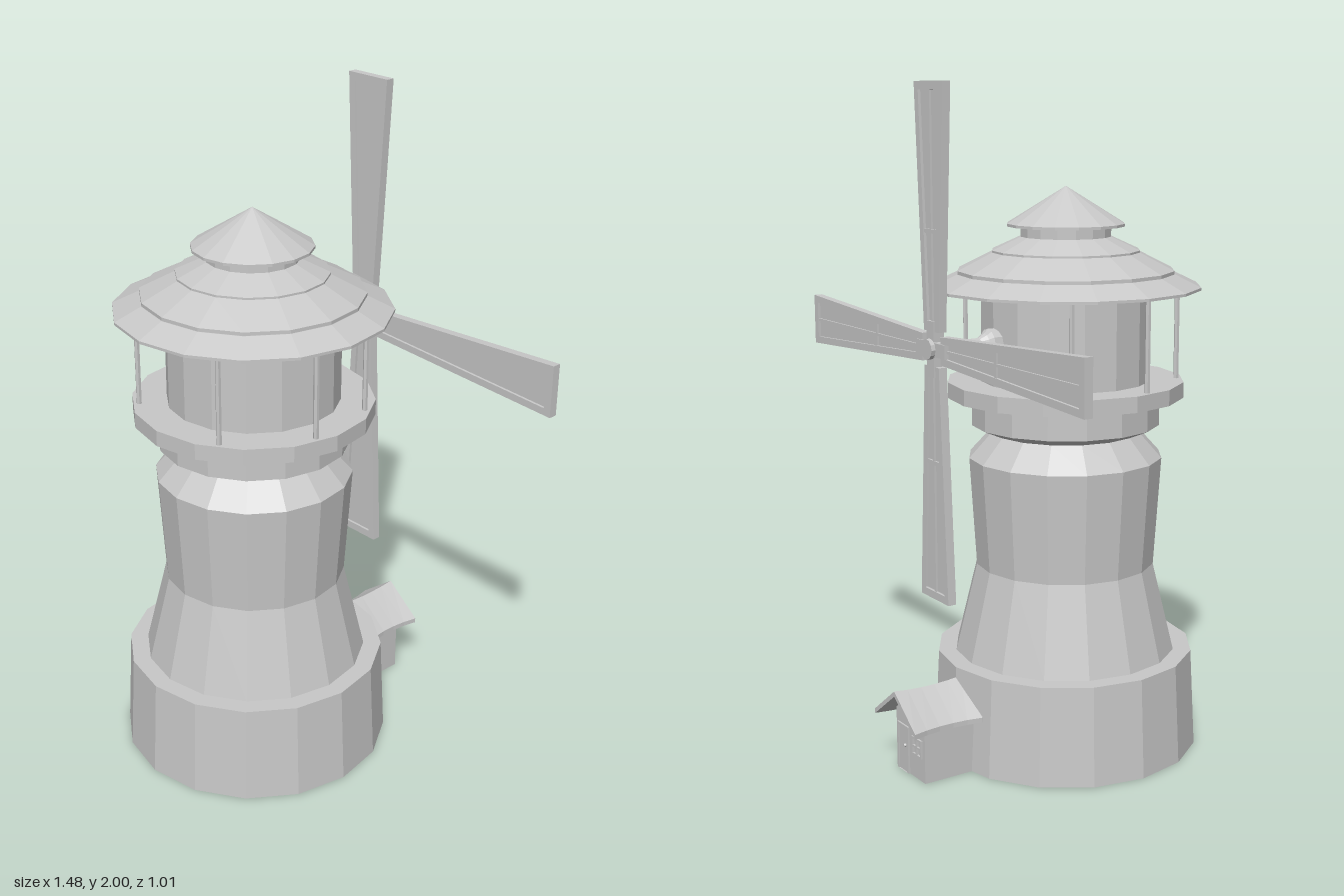
import * as THREE from 'three';

const stone = new THREE.MeshStandardMaterial({ color: 0xc8c8c8 });
stone.name = 'light grey';

const SIDES = 16;
const AXIS_Z = 0.095; // tower axis

// Mesh with one flat normal per facet
function facet(name, geometry, parent, x = 0, y = 0, z = 0) {
  const g = geometry.index ? geometry.toNonIndexed() : geometry;
  g.computeVertexNormals();
  const mesh = new THREE.Mesh(g, stone);
  mesh.name = name;
  mesh.position.set(x, y, z);
  parent.add(mesh);
  return mesh;
}

// Turned part from [radius, height] pairs, bottom to top
function turned(name, profile, parent, sides = SIDES) {
  const pts = profile.map(([r, y]) => new THREE.Vector2(r, y));
  return facet(name, new THREE.LatheGeometry(pts, sides), parent);
}

function polygon(points, Type = THREE.Shape) {
  return new Type(points.map(([x, y]) => new THREE.Vector2(x, y)));
}

function extrude(shape, depth, steps = 1) {
  return new THREE.ExtrudeGeometry(shape, { depth, steps, bevelEnabled: false });
}

function box(name, w, h, d, x, y, z, parent) {
  return facet(name, new THREE.BoxGeometry(w, h, d), parent, x, y, z);
}

function createTower() {
  const tower = new THREE.Group();
  tower.name = 'tower';
  tower.position.z = AXIS_Z;
  turned('base', [[0, 0], [0.408, 0], [0.392, 0.3], [0, 0.3]], tower);
  turned('shaft', [[0.338, 0.3], [0.272, 0.57], [0.293, 0.9], [0.225, 0.975], [0.225, 0.99]], tower);
  turned('corbel', [[0, 0.975], [0.225, 0.975], [0.284, 1.0], [0.284, 1.09]], tower);
  turned('gallery', [[0, 1.085], [0.355, 1.085], [0.355, 1.132], [0, 1.132]], tower);
  turned('lanternRoom', [[0.254, 1.13], [0.254, 1.41]], tower);

  // Gallery posts, mirrored left and right, open at the rear for the sails
  for (const side of [-1, 1]) {
    for (const deg of [57, 9.6, -32]) {
      const a = THREE.MathUtils.degToRad(deg);
      facet('post', new THREE.CylinderGeometry(0.008, 0.008, 0.285, 6), tower,
        side * 0.332 * Math.cos(a), 1.27, 0.332 * Math.sin(a));
    }
  }

  // Tiered roof
  turned('eaves', [[0, 1.405], [0.402, 1.405], [0.402, 1.413], [0.325, 1.45], [0, 1.45]], tower);
  turned('middleRoof', [[0, 1.45], [0.323, 1.45], [0.323, 1.46], [0.22, 1.512], [0, 1.512]], tower);
  turned('upperRoof', [[0, 1.51], [0.22, 1.51], [0.22, 1.518], [0.135, 1.557], [0.135, 1.59]], tower);
  turned('cap', [[0, 1.587], [0.175, 1.587], [0.175, 1.595], [0, 1.703]], tower);
  return tower;
}

// One sail pointing up: tapered frame, recessed panel, spar and rib
function createSail() {
  const sail = new THREE.Group();
  sail.name = 'sail';
  const half = (r) => 0.037 + 0.054 * r;
  const outline = (r0, r1, inset) => [
    [-half(r0) + inset, r0], [half(r0) - inset, r0],
    [half(r1) - inset, r1], [-half(r1) + inset, r1],
  ];
  const frame = polygon(outline(0.05, 0.738, 0));
  frame.holes.push(polygon(outline(0.075, 0.715, 0.021).reverse(), THREE.Path));
  facet('sailFrame', extrude(frame, 0.026), sail, 0, 0, -0.013);
  facet('sailPanel', extrude(polygon(outline(0.07, 0.72, 0.018)), 0.01), sail, 0, 0, -0.005);
  box('spar', 0.008, 0.64, 0.008, 0, 0.395, -0.007, sail);
  box('rib', 0.07, 0.012, 0.008, 0, 0.33, -0.007, sail);
  return sail;
}

function createSails() {
  const sails = new THREE.Group();
  sails.name = 'sails';
  sails.position.set(0, 1.262, -0.353);
  for (let i = 0; i < 4; i++) {
    const sail = createSail();
    sail.rotation.z = i * Math.PI / 2;
    sails.add(sail);
  }
  box('hubCrossbar', 0.16, 0.04, 0.034, 0, 0, 0, sails);
  box('hubUpright', 0.04, 0.16, 0.034, 0, 0, 0, sails);
  // Axle profile runs from the lantern wall to the hub tip
  const axle = turned('axle', [
    [0, -0.24], [0.042, -0.24], [0.042, -0.175], [0.03, -0.163], [0.018, -0.143],
    [0.017, -0.055], [0.03, -0.042], [0.03, 0.03], [0, 0.03],
  ], sails, 12);
  axle.rotation.x = -Math.PI / 2;
  return sails;
}

function createHut() {
  const hut = new THREE.Group();
  hut.name = 'hut';
  const rear = -0.455;
  const wall = polygon([[-0.083, 0], [0.083, 0], [0.083, 0.19], [0, 0.25], [-0.083, 0.19]]);
  facet('hutWalls', extrude(wall, 0.22), hut, 0, 0, rear);

  // Gabled roof, slightly waisted along its length
  const chevron = polygon([[0.12, 0.163], [0.12, 0.178], [0, 0.27], [-0.12, 0.178], [-0.12, 0.163], [0, 0.254]]);
  const roof = extrude(chevron, 0.27, 6);
  const p = roof.attributes.position;
  for (let i = 0; i < p.count; i++) {
    const t = (p.getZ(i) - 0.112) / 0.112;
    const pinch = Math.max(0, 1 - t * t);
    p.setX(i, p.getX(i) * (1 - 0.12 * pinch));
    if (p.getY(i) > 0.2) p.setY(i, p.getY(i) - 0.007 * pinch);
  }
  facet('hutRoof', roof, hut, 0, 0, -0.507);

  // Door on the left, window on the right
  const frame = polygon([[0.006, 0], [0.07, 0], [0.07, 0.145], [0.006, 0.145]]);
  frame.holes.push(polygon([[0.014, 0], [0.014, 0.137], [0.062, 0.137], [0.062, 0]], THREE.Path));
  facet('doorFrame', extrude(frame, 0.008), hut, 0, 0, rear - 0.006);
  box('door', 0.048, 0.135, 0.004, 0.038, 0.068, rear - 0.001, hut);
  facet('doorKnob', new THREE.IcosahedronGeometry(0.006, 0), hut, 0.022, 0.085, rear - 0.006);
  for (const s of [-1, 0, 1]) {
    box('windowBar', 0.006, 0.056, 0.008, -0.042 + s * 0.024, 0.1, rear - 0.002, hut);
    box('windowRail', 0.054, 0.006, 0.008, -0.042, 0.1 + s * 0.025, rear - 0.002, hut);
  }
  return hut;
}

export function createModel() {
  const model = new THREE.Group();
  model.name = 'windmillTower';
  model.add(createTower(), createSails(), createHut());
  return model;
}
